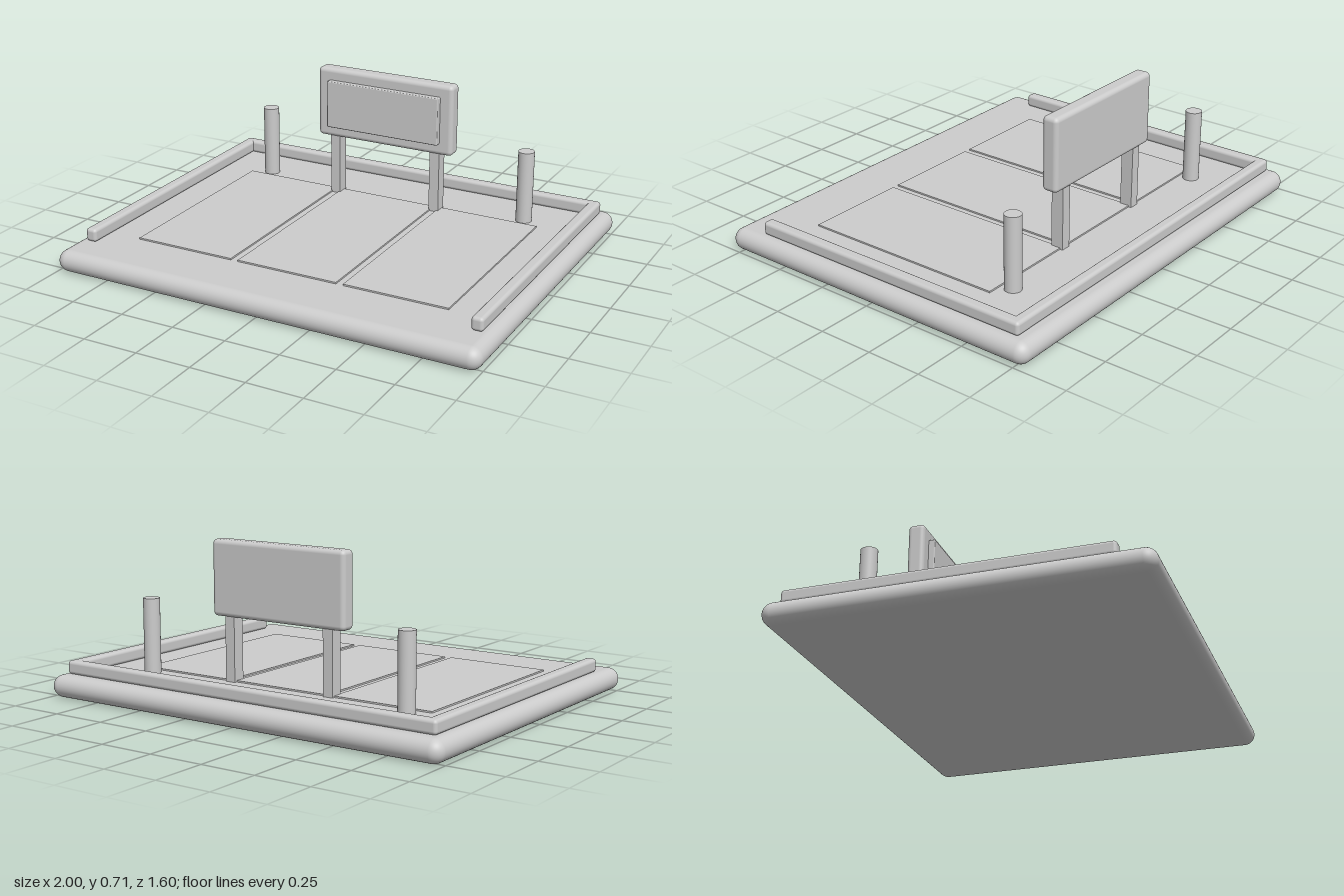
import * as THREE from 'three';
import { RoundedBoxGeometry } from 'three/addons/geometries/RoundedBoxGeometry.js';

export function createModel() {
  const model = new THREE.Group();
  model.name = 'parkingLot';
  const grey = new THREE.MeshStandardMaterial({ color: 0xcccccc });
  grey.name = 'light grey';

  const add = (name, geometry, x, y, z) => {
    const mesh = new THREE.Mesh(geometry, grey);
    mesh.name = name;
    mesh.position.set(x, y, z);
    model.add(mesh);
  };
  // Box given by its min and max corners, with optional rounded edges
  const block = (name, [x0, y0, z0], [x1, y1, z1], radius = 0, segments = 4) => {
    const size = [x1 - x0, y1 - y0, z1 - z0];
    const geometry = radius
      ? new RoundedBoxGeometry(...size, segments, radius)
      : new THREE.BoxGeometry(...size);
    add(name, geometry, (x0 + x1) / 2, (y0 + y1) / 2, (z0 + z1) / 2);
  };

  // Slab with fully rounded rim
  block('baseSlab', [-1, 0, -0.8], [1, 0.1, 0.8], 0.0499, 6);

  // Raised kerb along the back
  block('backKerb', [-0.945, 0.1, -0.735], [0.945, 0.16, -0.685], 0.015);

  // Thin bay plates
  for (const [x0, x1] of [[-0.75, -0.275], [-0.24, 0.237], [0.27, 0.748]]) {
    block('bay', [x0, 0.099, -0.437], [x1, 0.107, 0.516]);
  }

  // Mirrored kerbs, posts and sign legs
  for (const [side, s] of [['left', 1], ['right', -1]]) {
    const kerb = [0.895 * s, 0.948 * s].sort((a, b) => a - b);
    block(side + 'Kerb', [kerb[0], 0.1, -0.735], [kerb[1], 0.16, 0.642], 0.015);
    add(side + 'Post', new THREE.CylinderGeometry(0.037, 0.037, 0.34, 32), 0.665 * s, 0.265, -0.49);
    const x = 0.256 * s;
    block(side + 'SignLeg', [x - 0.024, 0.09, -0.45], [x + 0.024, 0.41, -0.392]);
  }

  // Sign board with raised face panel
  block('signBoard', [-0.343, 0.383, -0.46], [0.343, 0.715, -0.384], 0.02);
  block('signPanel', [-0.283, 0.437, -0.4], [0.283, 0.66, -0.355], 0.005, 2);

  return model;
}
